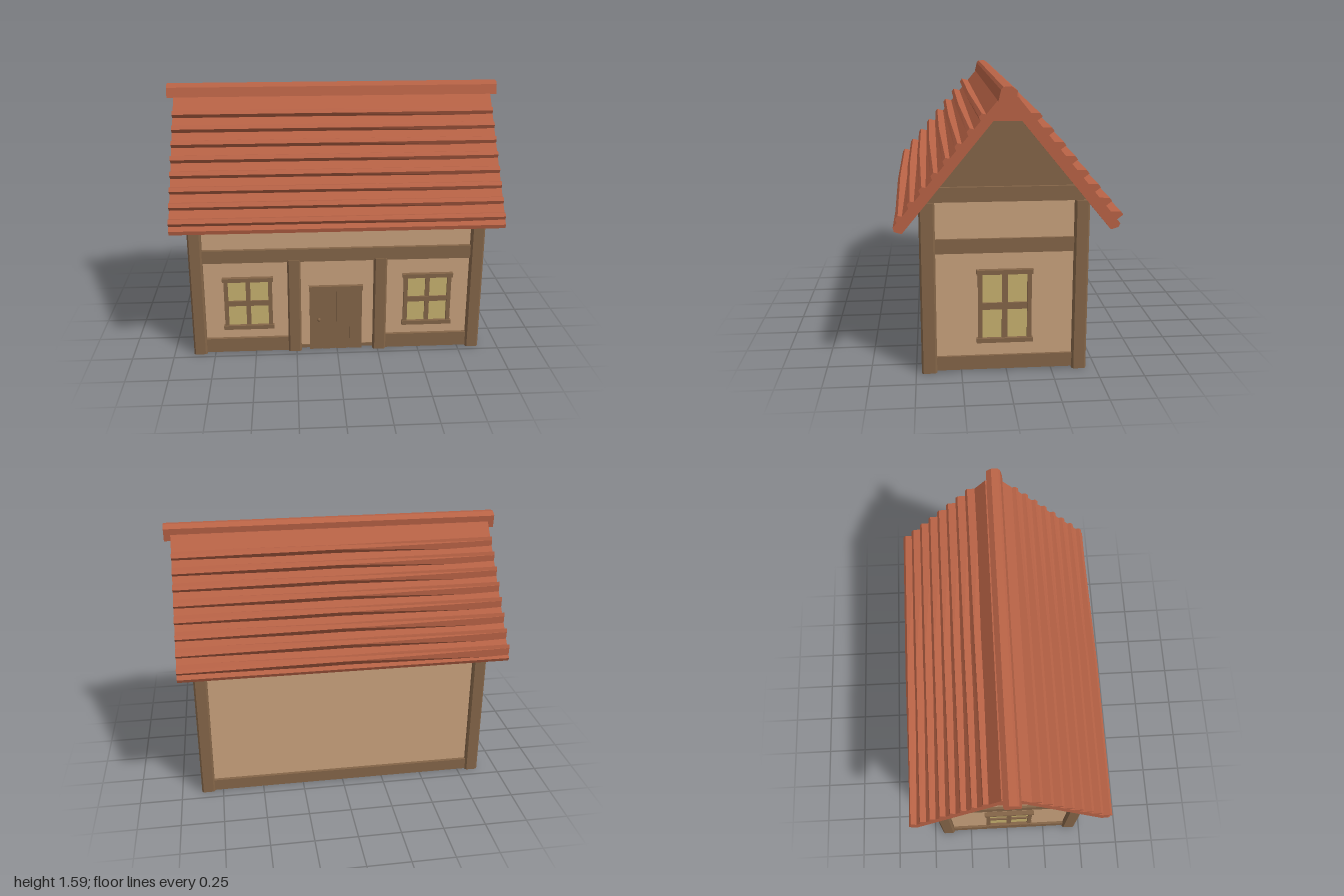
import * as THREE from 'three';

const mat = (name, color) => {
  const m = new THREE.MeshStandardMaterial({ color });
  m.name = name;
  return m;
};

export function createModel() {
  const model = new THREE.Group();
  model.name = 'cottage';
  const plaster = mat('plaster', 0xc9a27d);
  const timber = mat('timber', 0x846548);
  const glass = mat('glass', 0xc8b26f);
  const tile = mat('roofTile', 0xb96346);

  const add = (name, geo, material, parent = model) => {
    const mesh = new THREE.Mesh(geo, material);
    mesh.name = name;
    parent.add(mesh);
    return mesh;
  };
  const box = (name, m, x0, x1, y0, y1, z0, z1, parent) => {
    const g = new THREE.BoxGeometry(x1 - x0, y1 - y0, z1 - z0);
    g.translate((x0 + x1) / 2, (y0 + y1) / 2, (z0 + z1) / 2);
    return add(name, g, m, parent);
  };
  // Prism along x from a list of [z, y] points
  const prism = (name, m, pts, x0, x1) => {
    const shape = new THREE.Shape(pts.map(([z, y]) => new THREE.Vector2(-z, y)));
    const g = new THREE.ExtrudeGeometry(shape, { depth: x1 - x0, bevelEnabled: false });
    g.rotateY(Math.PI / 2).translate(x0, 0, 0);
    return add(name, g, m);
  };
  // Upright post with chamfered edges
  const post = (name, x, z, w, d, h) => {
    const a = w / 2, b = d / 2, c = 0.01;
    const shape = new THREE.Shape([
      [a - c, -b], [a, c - b], [a, b - c], [a - c, b],
      [c - a, b], [-a, b - c], [-a, c - b], [c - a, -b],
    ].map(p => new THREE.Vector2(...p)));
    const g = new THREE.ExtrudeGeometry(shape, { depth: h, bevelEnabled: false });
    g.rotateX(-Math.PI / 2).translate(x, 0, z);
    return add(name, g, timber);
  };

  // Plaster body and wooden floor
  box('walls', plaster, -0.85, 0.85, 0.02, 0.97, -0.415, 0.435);
  box('floor', timber, -0.855, 0.855, 0.01, 0.03, -0.42, 0.44);

  // Corner posts and door posts
  for (const s of [-1, 1]) {
    post('frontCornerPost', s * 0.84, 0.427, 0.08, 0.085, 0.97);
    post('backCornerPost', s * 0.84, -0.405, 0.08, 0.08, 0.97);
    post('doorPost', s * 0.26, 0.435, 0.08, 0.06, 0.61);
    const [a, b] = s > 0 ? [0.29, 0.81] : [-0.81, -0.29];
    box('frontSill', timber, a, b, 0.005, 0.095, 0.42, 0.455);
  }
  box('frontBeam', timber, -0.81, 0.81, 0.6, 0.68, 0.42, 0.458);
  box('backSill', timber, -0.81, 0.81, 0.005, 0.075, -0.435, -0.4);
  box('backBeam', timber, -0.81, 0.81, 0.82, 0.92, -0.435, -0.4);

  // Gable ends
  for (const s of [-1, 1]) {
    const side = (name, y0, y1, z0, z1, out) =>
      box(name, timber, s > 0 ? 0.83 : -out, s > 0 ? out : -0.83, y0, y1, z0, z1);
    side('sideSill', 0.01, 0.09, -0.38, 0.4, 0.865);
    side('sideBeam', 0.685, 0.765, -0.38, 0.4, 0.865);
    side('gableBeam', 0.97, 1.05, -0.41, 0.42, 0.87);
    prism('gablePanel', timber,
      [[0.45, 0.97], [0.09, 1.43], [-0.08, 1.43], [-0.44, 0.97]],
      s > 0 ? 0.8 : -0.85, s > 0 ? 0.85 : -0.8);
  }

  // Four-pane window, built facing +z around its own base centre
  const windowUnit = (name, w, h, bar, x, y, z, turn) => {
    const g = new THREE.Group();
    g.name = name;
    const a = w / 2, t = 0.025;
    box('glass', glass, -a + t, a - t, t, h - t, -0.002, 0.006, g);
    for (const s of [-1, 1]) {
      const c = s * (a - 0.02);
      box('stile', timber, c - 0.012, c + 0.012, 0.01, h - 0.01, -0.005, 0.02, g);
    }
    box('lowerRail', timber, -a, a, 0, t, -0.005, 0.027, g);
    box('upperRail', timber, -a, a, h - t, h, -0.005, 0.027, g);
    box('mullion', timber, -bar / 2, bar / 2, t, h - t, -0.003, 0.014, g);
    box('crossBar', timber, -a + t, a - t, h / 2 - bar * 0.6, h / 2 + bar * 0.6, -0.003, 0.016, g);
    g.position.set(x, y, z);
    g.rotation.y = turn;
    model.add(g);
  };
  windowUnit('frontWindowRight', 0.305, 0.34, 0.027, -0.538, 0.16, 0.435, 0);
  windowUnit('frontWindowLeft', 0.305, 0.34, 0.027, 0.55, 0.16, 0.435, 0);
  windowUnit('sideWindowLeft', 0.31, 0.42, 0.032, 0.85, 0.17, 0.01, Math.PI / 2);
  windowUnit('sideWindowRight', 0.31, 0.42, 0.032, -0.85, 0.17, 0.01, -Math.PI / 2);

  // Plank door with lintel and knob
  const door = new THREE.Group();
  door.name = 'door';
  model.add(door);
  box('doorBack', timber, -0.165, 0.15, 0.005, 0.42, 0.42, 0.445, door);
  for (let i = 0; i < 4; i++) {
    const x = -0.168 + i * 0.081;
    box('doorPlank', timber, x, x + 0.076, 0.005, 0.41, 0.43, 0.452, door);
  }
  box('doorLintel', timber, -0.172, 0.156, 0.4, 0.432, 0.43, 0.46, door);
  const knob = add('doorKnob', new THREE.SphereGeometry(0.011, 8, 6), timber, door);
  knob.position.set(-0.112, 0.21, 0.459);

  // Roof slab with a flat collar below the ridge
  prism('roofSlab', tile, [
    [0.6, 0.865], [0.045, 1.53], [-0.045, 1.53], [-0.59, 0.862], [-0.58, 0.842], [-0.54, 0.83],
    [-0.065, 1.41], [0.08, 1.41], [0.555, 0.83], [0.595, 0.842],
  ], -0.96, 0.96);

  // Ridge cap
  prism('ridgeCap', tile, [
    [0.059, 1.512], [0.046, 1.57], [0.034, 1.585], [-0.008, 1.588], [-0.038, 1.566], [-0.03, 1.492],
  ], -1, 1);

  // Uneven tile courses: sections in (down slope, outward) that change along x
  const frontFull = [[0.025, -0.015], [0.022, 0.038], [-0.004, 0.04], [-0.03, -0.015]];
  const frontLow = [[0.03, -0.015], [0.012, 0.02], [-0.012, 0.02], [-0.03, -0.015]];
  const backLip = [[0.022, -0.015], [0.024, 0.037], [0.002, 0.038], [-0.045, -0.015]];
  const backMid = [[0.028, -0.015], [0.016, 0.036], [-0.01, 0.038], [-0.036, -0.015]];
  const backLean = [[0.038, -0.01], [-0.002, 0.026], [-0.022, 0.036], [-0.03, -0.015]];

  const course = (s, y, z, sections) => {
    const rings = sections.map((sec, k) => sec.map(([u, n]) => [
      s * 0.96 * (1 - k), y - 0.768 * u + 0.64 * n, s * (z + 0.64 * u + 0.768 * n),
    ]));
    const pos = [];
    const quad = (a, b, c, d) => pos.push(...a, ...b, ...c, ...a, ...c, ...d);
    for (let k = 0; k < 2; k++) {
      for (let i = 0; i < 4; i++) {
        const j = (i + 1) % 4;
        quad(rings[k][i], rings[k][j], rings[k + 1][j], rings[k + 1][i]);
      }
    }
    quad(...[...rings[0]].reverse());
    quad(...rings[2]);
    const g = new THREE.BufferGeometry();
    g.setAttribute('position', new THREE.Float32BufferAttribute(pos, 3));
    g.computeVertexNormals();
    return g;
  };
  for (let i = 0; i < 8; i++) {
    const y = 0.906 + i * 0.0745, z = 0.565 - i * 0.062;
    add('frontTileCourse', course(1, y, z, [frontLow, frontFull, frontFull]), tile);
    add('backTileCourse', course(-1, y - 0.002, z - 0.005, [backLean, backMid, backLip]), tile);
  }
  return model;
}
